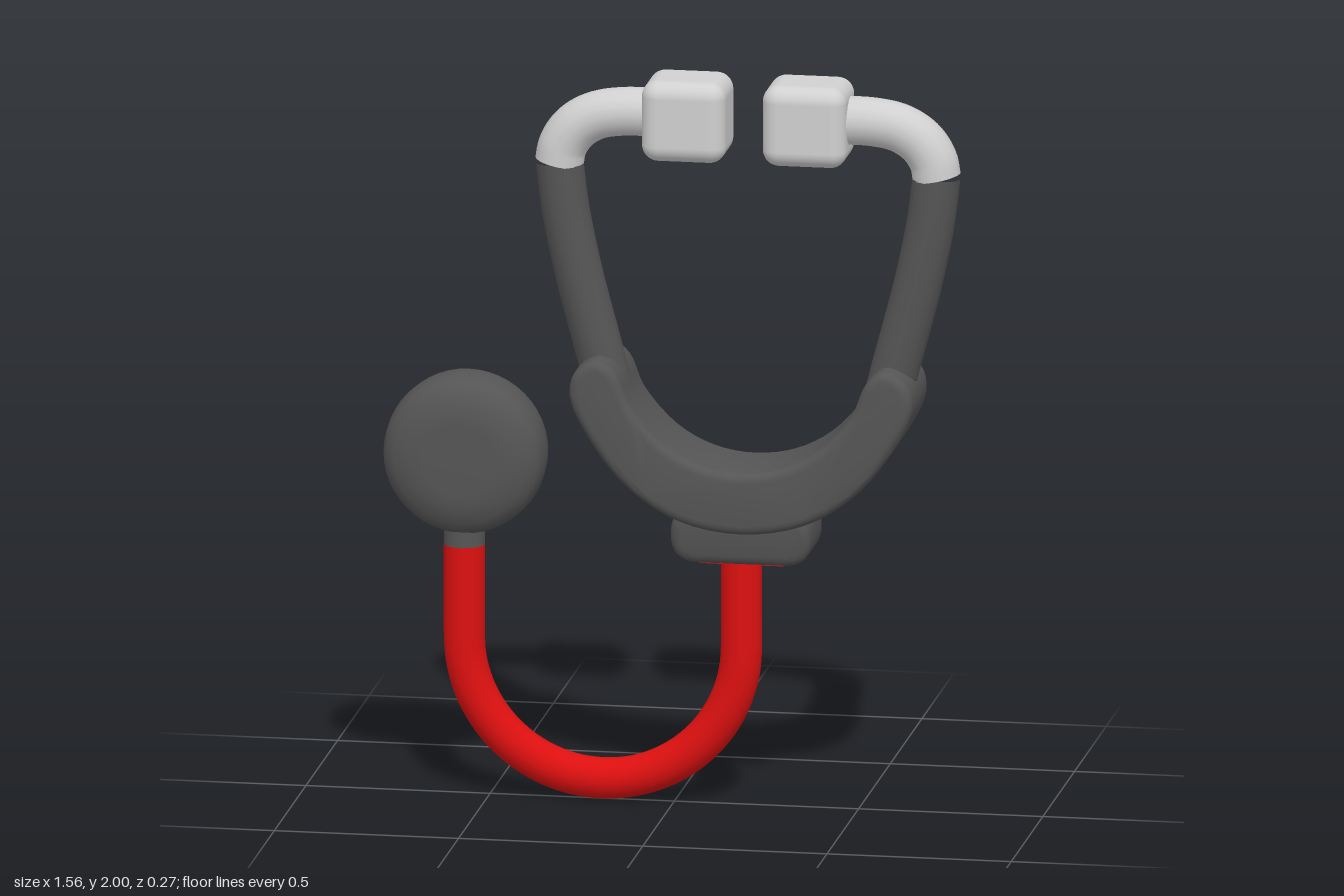
import * as THREE from 'three';
import { toCreasedNormals } from 'three/addons/utils/BufferGeometryUtils.js';
import { RoundedBoxGeometry } from 'three/addons/geometries/RoundedBoxGeometry.js';

const AXIS = 0.2; // x of the headset's symmetry axis

const material = (name, color) => Object.assign(new THREE.MeshStandardMaterial({ color }), { name });
const v3 = ([x, y]) => new THREE.Vector3(x, y, 0);

export function createModel() {
  const model = new THREE.Group();
  model.name = 'stethoscope';
  const dark = material('darkGrey', 0x555555);
  const light = material('lightGrey', 0xd0d0d0);
  const red = material('red', 0xdd1010);

  const add = (name, geometry, mat, x = 0, y = 0, z = 0) => {
    const mesh = new THREE.Mesh(geometry, mat);
    mesh.name = name;
    mesh.position.set(x, y, z);
    model.add(mesh);
    return mesh;
  };
  const tube = (points, radius, segments) =>
    new THREE.TubeGeometry(new THREE.CatmullRomCurve3(points.map(v3)), segments, radius, 16);
  // Slab with rounded rims whose outer size matches the outline
  const slab = (shape, halfDepth, bevel) => {
    const g = new THREE.ExtrudeGeometry(shape, {
      depth: 2 * (halfDepth - bevel), bevelSize: bevel, bevelThickness: bevel,
      bevelOffset: -bevel, bevelSegments: 4, curveSegments: 10,
    });
    g.translate(0, 0, bevel - halfDepth);
    return g;
  };

  // Red hose: two straight legs joined by a half circle
  const hose = new THREE.CurvePath();
  const left = -0.57, right = 0.182, bend = 0.43, r = (right - left) / 2;
  const arc = [];
  for (let i = 0; i <= 24; i++) {
    const a = Math.PI * (1 + i / 24);
    arc.push([(left + right) / 2 + r * Math.cos(a), bend + r * Math.sin(a)]);
  }
  hose.add(new THREE.LineCurve3(v3([left, 0.685]), v3(arc[0])));
  hose.add(new THREE.CatmullRomCurve3(arc.map(v3)));
  hose.add(new THREE.LineCurve3(v3(arc[24]), v3([right, 0.7])));
  add('hose', new THREE.TubeGeometry(hose, 90, 0.056, 16), red);

  // Chest piece: a rounded disc facing front and back, on a short neck
  const profile = [[0, 0.108], [0.1, 0.108], [0.14, 0.104], [0.18, 0.09], [0.205, 0.07], [0.216, 0.045], [0.22, 0]];
  const points = [...profile.map(([x, y]) => [x, -y]), ...profile.slice(0, -1).reverse()]
    .map(([x, y]) => new THREE.Vector2(x, y));
  const disc = add('chestPiece', new THREE.LatheGeometry(points, 48), dark, -0.566, 0.94);
  disc.rotation.x = Math.PI / 2;
  add('chestPieceNeck', new THREE.CylinderGeometry(0.054, 0.056, 0.12, 16), dark, left, 0.74);

  // Curved yoke: half outline, mirrored and smoothed
  const outer = [[0.17, 0.8], [0.3, 0.88], [0.395, 0.99], [0.465, 1.13], [0.45, 1.2], [0.39, 1.235],
    [0.34, 1.2], [0.3, 1.11], [0.21, 1.01], [0.11, 0.957]];
  const mirrored = outer.map(([x, y]) => [-x, y]).reverse();
  const outline = new THREE.CatmullRomCurve3([[0, 0.77], ...outer, [0, 0.94], ...mirrored].map(v3), true);
  const yokeShape = new THREE.Shape(outline.getPoints(88).slice(0, -1).map(p => new THREE.Vector2(p.x, p.y)));
  add('yoke', toCreasedNormals(slab(yokeShape, 0.136, 0.025), 0.7), dark, AXIS);

  // Connector block under the yoke, narrowing downwards
  const w = 0.19, bottom = 0.68, top = 0.84, c = 0.075;
  const block = new THREE.Shape();
  block.moveTo(-w + c, bottom);
  block.lineTo(w - c, bottom);
  block.quadraticCurveTo(w, bottom, w, bottom + c);
  block.quadraticCurveTo(w, top, w - c, top);
  block.lineTo(-w + c, top);
  block.quadraticCurveTo(-w, top, -w, bottom + c);
  block.quadraticCurveTo(-w, bottom, -w + c, bottom);
  const blockGeometry = slab(block, 0.115, 0.025);
  const pos = blockGeometry.attributes.position;
  for (let i = 0; i < pos.count; i++) {
    const t = Math.min(1, (pos.getY(i) - bottom) / 0.1);
    pos.setZ(i, pos.getZ(i) * (0.87 + 0.13 * t));
  }
  add('connector', toCreasedNormals(blockGeometry, 0.7), dark, AXIS - 0.005);
  add('connectorBase', new THREE.BoxGeometry(0.23, 0.006, 0.15), red, AXIS - 0.005, bottom);

  // Binaural arms and ear tips on both sides
  for (const [side, s] of [['left', 1], ['right', -1]]) {
    const at = pts => pts.map(([x, y]) => [AXIS + s * x, y]);
    add(side + 'Arm', tube(at([[0.37, 1.1], [0.4, 1.22], [0.46, 1.45], [0.495, 1.62], [0.512, 1.755]]), 0.065, 24), dark);
    add(side + 'Elbow', tube(at([[0.512, 1.75], [0.503, 1.795], [0.47, 1.845], [0.415, 1.88], [0.34, 1.895], [0.2, 1.895]]),
      0.066, 32), light);
    // Ear tip: rounded cube
    add(side + 'EarTip', new RoundedBoxGeometry(0.228, 0.222, 0.2, 5, 0.045), light, AXIS + s * 0.164, 1.889);
  }
  return model;
}
